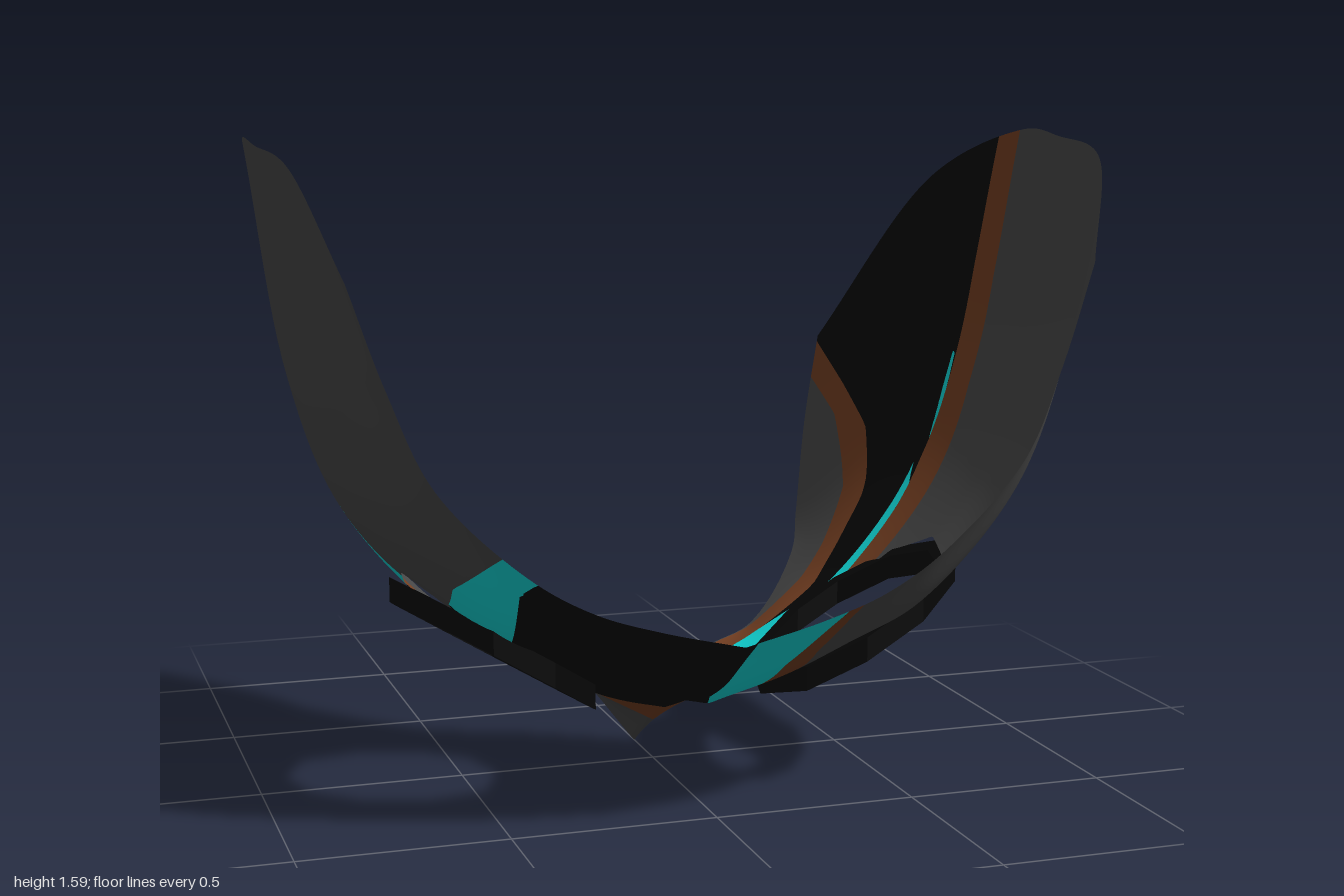
import * as THREE from 'three';
import { mergeVertices } from 'three/addons/utils/BufferGeometryUtils.js';

const mat = (name, color) => new THREE.MeshStandardMaterial({ name, color, side: THREE.DoubleSide });

// Cross-sections from forehead to jaw; each runs from the centre line to the side edge.
const SECTIONS = [
  [[0, .46, .69], [.2, .51, .69], [.35, .56, .68], [.5, .65, .67], [.7, .85, .66], [.8, 1.07, .645], [.88, 1.3, .63]],
  [[0, .28, .48], [.2, .34, .48], [.35, .4, .48], [.52, .48, .48], [.76, .74, .48], [.89, 1.1, .48], [.965, 1.53, .48]],
  [[0, .21, .2], [.2, .24, .2], [.35, .32, .2], [.55, .45, .2], [.8, .72, .2], [.92, 1.05, .2], [1, 1.575, .2]],
  [[0, .1, 0], [.18, .2, 0], [.35, .3, 0], [.55, .42, 0], [.79, .7, 0], [.91, 1.02, 0], [1, 1.585, 0]],
  [[0, .04, -.1], [.16, .19, -.12], [.34, .28, -.14], [.54, .42, -.22], [.7, .63, -.31], [.8, .92, -.38], [.91, 1.44, -.38]],
  [[0, 0, -.16], [.18, .21, -.19], [.35, .27, -.24], [.54, .41, -.43], [.61, .5, -.575], [.67, .74, -.67], [.72, .98, -.7]],
];

// Ten-sided eye opening as (x, z)
const EYE = [[.41, -.04], [.52, -.04], [.63, .04], [.67, .19], [.63, .34], [.52, .43], [.4, .43], [.3, .36], [.26, .2], [.3, .04]];
const eyeRing = (side, grow) => EYE.map(([x, z]) => {
  const k = 1 + grow / .22;
  return [side * (.465 + (x - .465) * k), .195 + (z - .195) * k];
});

// Painted borders as (unrolled width, z)
const TEAL_SIDE = [[-.6, .14], [-.66, .16], [-.72, .1], [-.92, .03], [-1.3, -.06], [-2.1, -.14]];
const BAND_FRONT = [[-2.1, -.3], [-1.7, -.28], [-1.33, -.2], [-1, -.12], [-.8, -.09], [-.6, -.03], [-.4, 0], [-.3, .05], [0, .1],
  [.15, .04], [.25, -.12], [.5, -.16], [.55, -.2], [.63, -.25], [.75, -.3], [.91, -.4], [1, -.55], [1.11, -.75]];
const BAND_BACK = [[.99, -.75], [.89, -.55], [.69, -.4], [.58, -.3], [.5, -.25], [.33, -.22], [.2, -.19], [.1, -.07], [0, 0],
  [-.15, 0], [-.3, -.02], [-.4, -.06], [-.55, -.09], [-.7, -.13], [-.8, -.16], [-1.33, -.28], [-1.75, -.4], [-2.1, -.45]];
const TEAL_INNER = [[.03, .8], [.03, .68], [-.02, .5], [.02, .35], [.1, .15], [.2, 0], [.25, -.13], [.33, -.14], [.5, -.11],
  [.7, -.125], [.9, -.135], [1.3, -.135]];
const TEAL_OUTER = [[1.3, -.12], [.9, -.115], [.6, -.085], [.4, -.05], [.3, -.02], [.24, 0], [.18, .2], [.12, .4], [.15, .55],
  [.25, .68], [.25, .8]];
const GREY_EDGE = [[2.2, 0], [1.55, -.03], [1.2, -.03], [.8, -.01], [.5, 0], [.36, -.04], [.27, 0], [.24, .2], [.26, .3],
  [.23, .4], [.23, .55], [.29, .68], [.29, .8]];

// Colour slots: 0 black, 1 grey, 2 teal, 3 brown, -1 removed. Later areas cover earlier ones.
const AREAS = [
  [1, [[-.65, .8], [-.65, .66], [-.62, .41], [-.5, .3], ...TEAL_SIDE, [-2.3, -.16], [-2.3, .8]]],
  [2, [...TEAL_SIDE, [-2.1, -.19], [-1.3, -.12], [-.92, -.05], [-.72, 0], [-.6, .03]]],
  [2, [[-.65, .8], [-.65, .66], [-.62, .41], [-.48, .4], [-.51, .66], [-.51, .8]]],
  [3, [...BAND_FRONT, ...BAND_BACK]],
  [1, [...BAND_BACK, [-2.3, -.9], [.99, -.9]]],
  [2, [...TEAL_INNER, ...TEAL_OUTER]],
  [3, [...TEAL_OUTER, [2.2, .8], [2.2, -.09], [1.55, -.12]]],
  [1, [...GREY_EDGE, [2.2, .8]]],
  [-1, eyeRing(1, .015)],
  [-1, eyeRing(-1, .015)],
];

// Signed distance from a point to a closed outline, negative inside
function distance(poly, px, py) {
  let best = Infinity, inside = false;
  poly.forEach(([ax, ay], i) => {
    const [bx, by] = poly[(i + 1) % poly.length];
    const dx = bx - ax, dy = by - ay;
    const t = Math.min(1, Math.max(0, ((px - ax) * dx + (py - ay) * dy) / (dx * dx + dy * dy || 1)));
    best = Math.min(best, Math.hypot(px - ax - t * dx, py - ay - t * dy));
    if ((ay > py) !== (by > py) && px < ax + (py - ay) * dx / dy) inside = !inside;
  });
  return inside ? -best : best;
}

// Width measured outward and then up the steep sides
const unroll = p => Math.sign(p.x) * (Math.abs(p.x) + Math.max(0, p.y - .6));

// Keep the part of a triangle where sign * d is negative
function clip(tri, d, sign) {
  const out = [];
  tri.forEach((a, i) => {
    const j = (i + 1) % 3, da = d[i] * sign, db = d[j] * sign;
    if (da <= 0) out.push(a);
    if (da * db < 0) {
      // always interpolate in the same direction so neighbours share the cut
      const flip = a.x + a.z * 3 > tri[j].x + tri[j].z * 3;
      out.push(flip ? tri[j].clone().lerp(a, db / (db - da)) : a.clone().lerp(tri[j], da / (da - db)));
    }
  });
  const fan = [];
  for (let i = 2; i < out.length; i++) fan.push([out[0], out[i - 1], out[i]]);
  return fan;
}

function paint(faces, slot, poly) {
  const result = [];
  for (const f of faces) {
    const d = f.tri.map(p => distance(poly, unroll(p), p.z));
    if (d.every(v => v >= 0)) { result.push(f); continue; }
    if (slot >= 0) for (const tri of clip(f.tri, d, 1)) result.push({ tri, slot });
    for (const tri of clip(f.tri, d, -1)) result.push({ tri, slot: f.slot });
  }
  return result;
}

// Smooth loft through the sections, mirrored across the centre line
function shellFaces(nu, nv) {
  const rails = SECTIONS.map(s => new THREE.CatmullRomCurve3(s.map(p => new THREE.Vector3(...p))));
  const columns = [];
  for (let i = 0; i <= nu; i++) {
    const curve = new THREE.CatmullRomCurve3(rails.map(r => r.getPoint(i / nu)));
    columns.push(Array.from({ length: nv + 1 }, (_, j) => curve.getPoint(j / nv)));
  }
  const at = (i, j) => {
    const p = columns[Math.abs(i)][j].clone();
    if (i < 0) p.x *= -1;
    return p;
  };
  const faces = [];
  for (let i = -nu; i < nu; i++) for (let j = 0; j < nv; j++) {
    const a = at(i, j), b = at(i + 1, j), c = at(i + 1, j + 1), d = at(i, j + 1);
    faces.push({ tri: [a, b, c], slot: 0 }, { tri: [a, c, d], slot: 0 });
  }
  return faces;
}

function shellGeometry() {
  let faces = shellFaces(66, 70);
  for (const [slot, poly] of AREAS) faces = paint(faces, slot, poly);
  faces.sort((a, b) => a.slot - b.slot);
  let geo = new THREE.BufferGeometry().setFromPoints(faces.flatMap(f => f.tri));
  geo = mergeVertices(geo, 1e-5);
  geo.computeVertexNormals();
  let start = 0;
  for (let slot = 0; slot < 4; slot++) {
    const count = faces.filter(f => f.slot === slot).length * 3;
    geo.addGroup(start, count, slot);
    start += count;
  }
  return geo;
}

// Flat ten-sided ring, sheared to follow the slope of the shell
function rimGeometry(side) {
  const points = grow => eyeRing(side, grow).map(([x, z]) => new THREE.Vector2(x, -z));
  const shape = new THREE.Shape(points(.045));
  shape.holes.push(new THREE.Path(points(0)));
  const geo = new THREE.ExtrudeGeometry(shape, { depth: .06, bevelEnabled: false });
  geo.rotateX(-Math.PI / 2);
  const p = geo.attributes.position;
  for (let i = 0; i < p.count; i++) {
    p.setY(i, p.getY(i) + .235 + .61 * (Math.abs(p.getX(i)) - .27) + .13 * (p.getZ(i) - .2));
  }
  geo.computeVertexNormals();
  return geo;
}

export function createModel() {
  const group = new THREE.Group();
  group.name = 'mask';
  const black = mat('black', 0x060606);
  const materials = [black, mat('grey', 0x4a4a4a), mat('teal', 0x11e0e0), mat('brown', 0x784123)];

  const shell = new THREE.Mesh(shellGeometry(), materials);
  shell.name = 'maskShell';
  group.add(shell);

  for (const side of [1, -1]) {
    const rim = new THREE.Mesh(rimGeometry(side), black);
    rim.name = side > 0 ? 'leftEyeRim' : 'rightEyeRim';
    group.add(rim);
  }
  return group;
}
